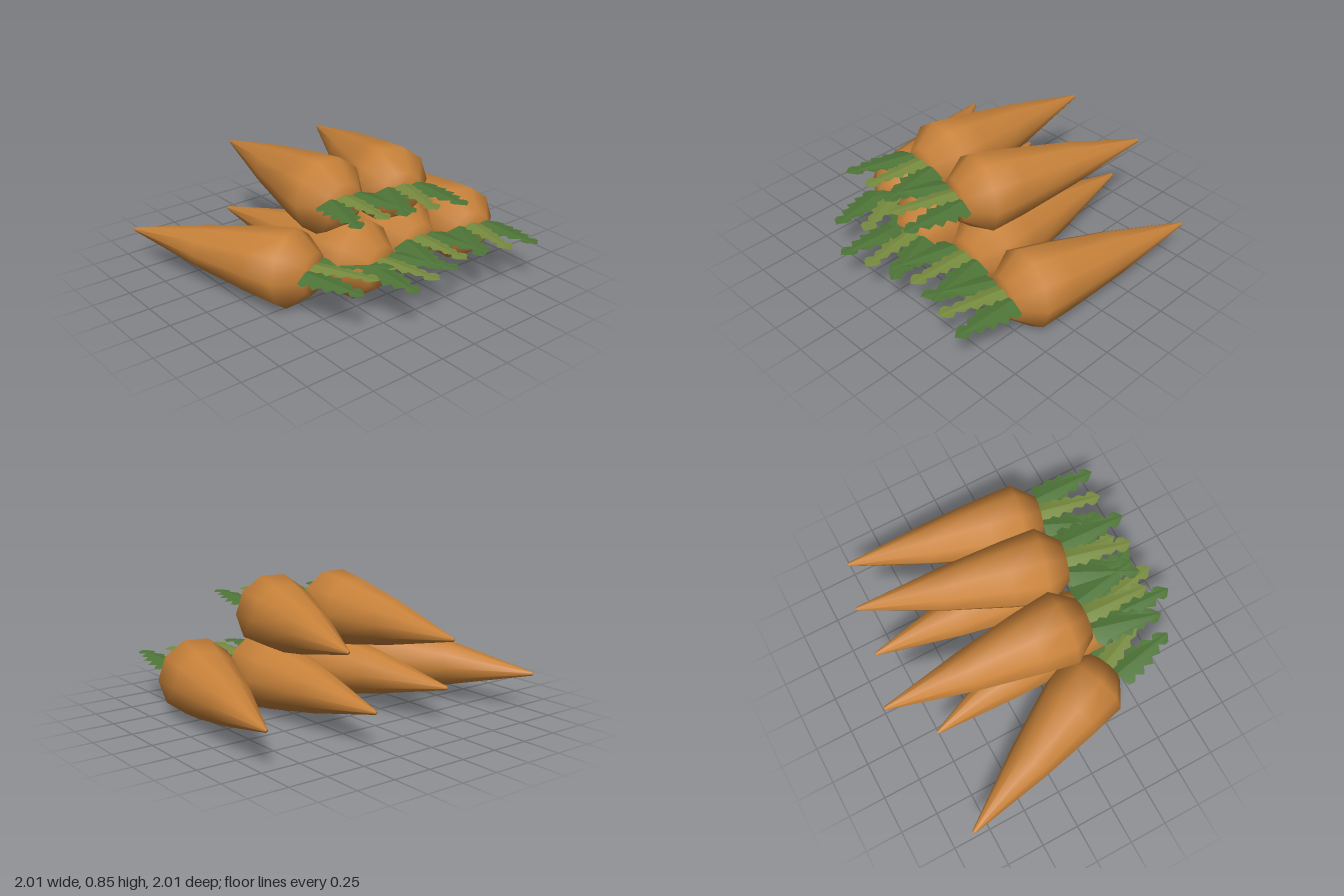
import * as THREE from 'three';

const orange = new THREE.MeshStandardMaterial({ color: 0xc8823a });
orange.name = 'carrotOrange';
const darkGreen = new THREE.MeshStandardMaterial({ color: 0x4f7638, side: THREE.DoubleSide });
darkGreen.name = 'darkLeafGreen';
const lightGreen = new THREE.MeshStandardMaterial({ color: 0x788c3f, side: THREE.DoubleSide });
lightGreen.name = 'lightLeafGreen';

// Ten-sided root lying along z: crown at z = 0, tip at z = -1.34
function rootGeometry() {
  const profile = [
    [0, -1.342], [0.012, -1.335], [0.14, -0.79], [0.218, -0.37],
    [0.25, -0.15], [0.137, 0], [0, 0.004],
  ].map(([r, y]) => new THREE.Vector2(r, y));
  const geo = new THREE.LatheGeometry(profile, 10);
  geo.rotateY(Math.PI / 2); // flat faces point up and down
  geo.rotateX(Math.PI / 2);
  return geo;
}

// Toothed half outline of a leaf: [half width, distance from crown]
const TEETH = [
  [0.1, 0], [0.115, 0.04], [0.08, 0.08], [0.115, 0.12], [0.07, 0.16], [0.1, 0.21],
  [0.055, 0.24], [0.075, 0.29], [0.025, 0.33], [0.055, 0.36], [0.048, 0.39], [0, 0.435],
];

// One half of a leaf, drooping a little from its midrib; lean: -1, 0 or 1
function halfLeafGeometry(side, lean, width) {
  const shape = new THREE.Shape();
  shape.moveTo(0, 0);
  TEETH.forEach(([w, d]) => shape.lineTo(side * w * (d < 0.32 ? width : 1), d));
  shape.closePath();
  const geo = new THREE.ShapeGeometry(shape);
  const pos = geo.attributes.position;
  for (let i = 0; i < pos.count; i++) {
    const x = pos.getX(i);
    const d = pos.getY(i);
    const droop = 0.3 * Math.abs(x) * (1 - d / 0.435);
    const lift = lean === 0 ? 0.006 : 0;
    pos.setXYZ(i, x + lean * (0.1 + 0.22 * d), 0.06 + lift - droop, d);
  }
  geo.computeVertexNormals();
  return geo;
}

const root = rootGeometry();
const leaves = [-1, 1, 0].map((lean) => ({
  lean,
  halves: [-1, 1].map((side) => halfLeafGeometry(side, lean, lean === 0 ? 0.65 : 1)),
}));

// A carrot with its crown at (x, y, z) and its tip at (tipX, y, tipZ)
function carrot([x, y, z, tipX, tipZ]) {
  const group = new THREE.Group();
  group.name = 'carrot';
  const body = new THREE.Mesh(root, orange);
  body.name = 'root';
  group.add(body);
  for (const { lean, halves } of leaves) {
    const leaf = new THREE.Group();
    leaf.name = lean === 0 ? 'middleLeaf' : 'sideLeaf';
    for (const geo of halves) {
      const half = new THREE.Mesh(geo, lean === 0 ? lightGreen : darkGreen);
      half.name = 'leafHalf';
      leaf.add(half);
    }
    group.add(leaf);
  }
  group.position.set(x, y, z);
  group.rotation.y = Math.atan2(x - tipX, z - tipZ);
  return group;
}

export function createModel() {
  const pile = new THREE.Group();
  pile.name = 'carrotPile';
  const low = 0.238;
  const high = 0.608;
  const layout = [
    // bottom row
    [-0.47, low, 0.37, -1.0, -0.85],
    [-0.1, low, 0.55, -0.34, -0.77],
    [0.29, low, 0.455, 0.32, -0.885],
    [0.685, low, 0.535, 0.98, -0.77],
    // top row
    [-0.22, high, 0.34, -0.15, -1.0],
    [0.17, high, 0.425, 0.51, -0.87],
  ];
  layout.forEach((place) => pile.add(carrot(place)));
  return pile;
}
